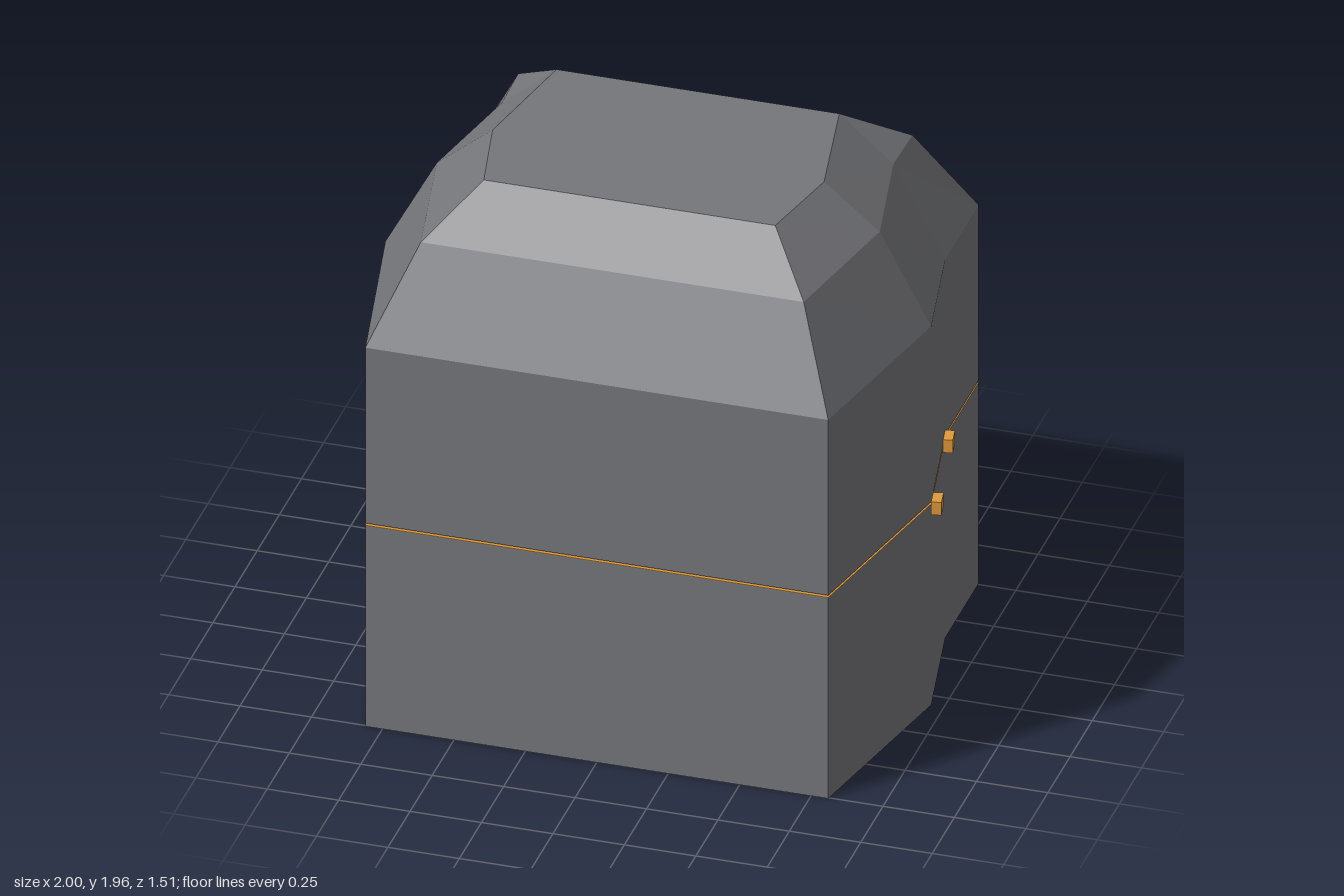
import * as THREE from 'three';

const GREY = new THREE.MeshStandardMaterial({ color: 0x75767a, flatShading: true });
const ORANGE = new THREE.MeshStandardMaterial({ color: 0xe09a3e, flatShading: true });

// Half outlines on the +x side, [x, z] from back to front
const BASE = [[0.868, -0.757], [0.868, -0.38], [0.955, 0.06], [0.81, 0.755]];
const SHOULDER = [[0.69, -0.585], [0.685, -0.385], [0.775, 0.06], [0.67, 0.58]];
const ROOF = [[0.495, -0.387], [0.495, -0.387], [0.58, 0.06], [0.51, 0.385]];

// Full mirrored ring at height y
function ring(half, y) {
  const right = half.map(([x, z]) => new THREE.Vector3(x, y, z));
  const left = half.map(([x, z]) => new THREE.Vector3(-x, y, z)).reverse();
  return [...right, ...left];
}

// Closed faceted solid through a stack of rings, bottom to top
function loft(rings) {
  const points = [];
  const tri = (a, b, c) => {
    const area = b.clone().sub(a).cross(c.clone().sub(a)).length();
    if (area > 1e-7) points.push(a, b, c);
  };
  const quad = (a, b, c, d) => { tri(a, b, c); tri(a, c, d); };
  const n = rings[0].length;
  for (let r = 0; r < rings.length - 1; r++) {
    const lo = rings[r], hi = rings[r + 1];
    for (let i = 0; i < n; i++) {
      const j = (i + 1) % n;
      quad(lo[i], hi[i], hi[j], lo[j]);
    }
  }
  // Caps are strips between mirrored pairs
  const bottom = rings[0], top = rings[rings.length - 1];
  for (let i = 0; i < n / 2 - 1; i++) {
    const k = n - 1 - i;
    quad(bottom[i], bottom[i + 1], bottom[k - 1], bottom[k]);
    quad(top[i], top[k], top[k - 1], top[i + 1]);
  }
  const geometry = new THREE.BufferGeometry().setFromPoints(points);
  geometry.computeVertexNormals();
  return geometry;
}

export function createModel() {
  const model = new THREE.Group();
  const add = (name, geometry, material) => {
    const mesh = new THREE.Mesh(geometry, material);
    mesh.name = name;
    model.add(mesh);
    return mesh;
  };

  // Lower half, with a thin coloured liner on its rim
  add('lowerBody', loft([ring(BASE, 0), ring(BASE, 0.776)]), GREY);
  add('seamLiner', loft([ring(BASE, 0.776), ring(BASE, 0.778)]), ORANGE);

  // Upper half, bevelled in two steps up to a flat roof
  add('upperBody', loft([
    ring(BASE, 0.786), ring(BASE, 1.465), ring(SHOULDER, 1.8), ring(ROOF, 1.96),
  ]), GREY);

  // Two small clips across the seam on each side, set along the slanted wall
  const clip = new THREE.BoxGeometry(0.035, 0.05, 0.065);
  for (const side of [1, -1]) {
    for (const [label, x, z] of [['front', 0.976, 0.058], ['rear', 0.89, -0.348]]) {
      const mesh = add(`${label}${side > 0 ? 'Left' : 'Right'}Clip`, clip, ORANGE);
      mesh.position.set(side * x, 0.781, z);
      mesh.rotation.y = side * 0.19;
    }
  }
  return model;
}
